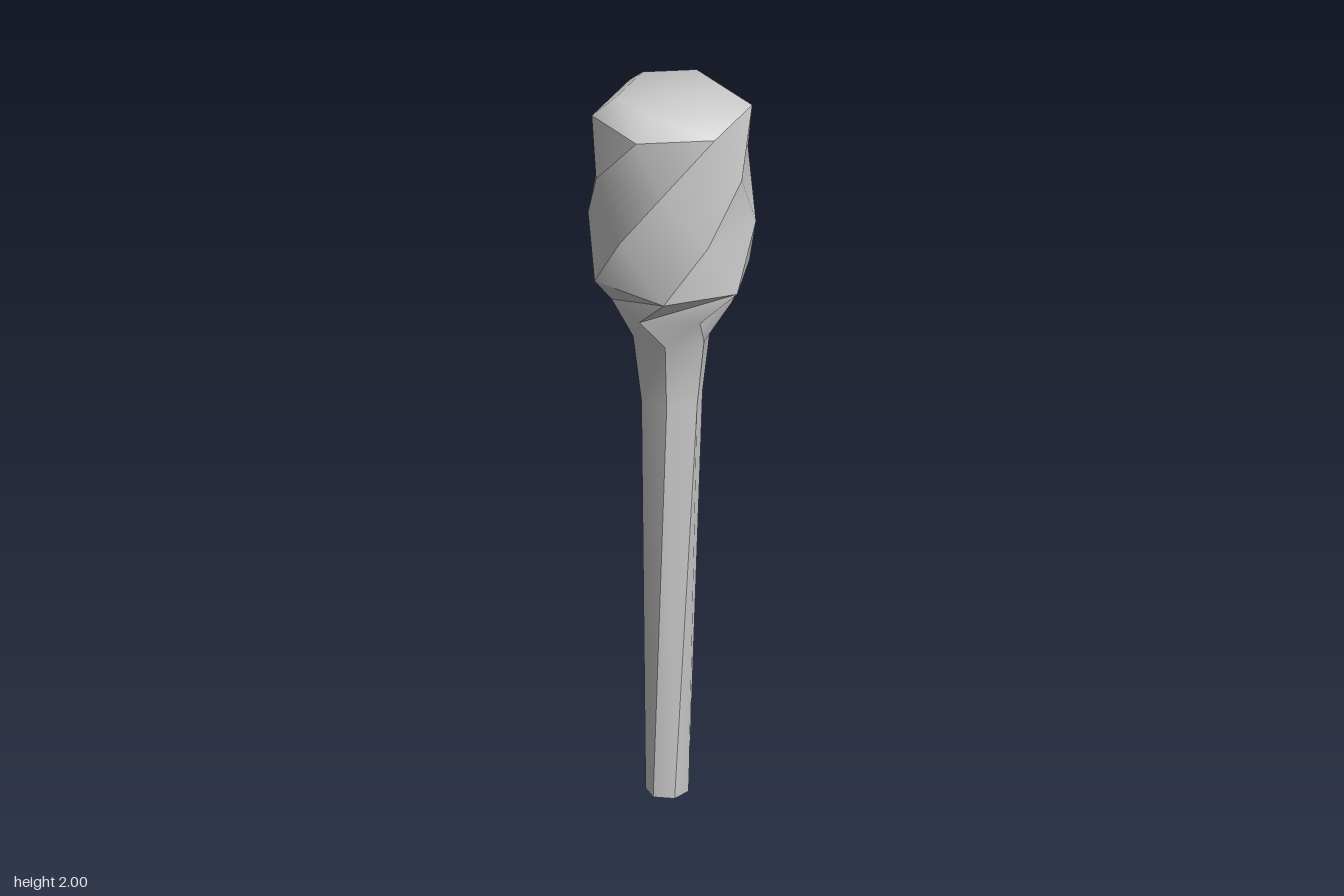
import * as THREE from 'three';
import { mergeGeometries } from 'three/addons/utils/BufferGeometryUtils.js';

const SIDES = 6;

// six-sided ring: radii and base angles repeat on opposite sides
function ring(y, radii, angles, turn = 0, cx = 0, cz = 0) {
  return Array.from({ length: SIDES }, (_, k) => {
    const r = radii[k % radii.length];
    const a = THREE.MathUtils.degToRad(angles[k % 3] + (k >= 3 ? 180 : 0) + turn);
    return new THREE.Vector3(cx + r * Math.cos(a), y, cz + r * Math.sin(a));
  });
}

function geometry(points, index) {
  const g = new THREE.BufferGeometry().setFromPoints(points);
  g.setIndex(index);
  g.computeVertexNormals();
  return g;
}

// one lengthwise face between two ridges, rings listed top to bottom;
// each quad is split along its shorter diagonal
function strip(rings, k, tip) {
  const n = (k + 1) % SIDES;
  const points = [], index = [];
  rings.forEach((r) => points.push(r[k], r[n]));
  for (let i = 0; i < rings.length - 1; i++) {
    const a = 2 * i, b = a + 1, c = a + 2, d = a + 3;
    if (points[b].distanceTo(points[c]) < points[a].distanceTo(points[d])) {
      index.push(a, b, c, b, d, c);
    } else {
      index.push(a, b, d, a, d, c);
    }
  }
  if (tip) {
    points.push(tip);
    index.push(points.length - 1, 1, 0);
  }
  return geometry(points, index);
}

const sides = (make) => mergeGeometries(Array.from({ length: SIDES }, (_, k) => make(k)));

export function createModel() {
  const group = new THREE.Group();
  const material = new THREE.MeshStandardMaterial({ color: 0xcccccc });
  const add = (name, geo) => {
    const mesh = new THREE.Mesh(geo, material);
    mesh.name = name;
    group.add(mesh);
  };

  // twisted head
  const radii = [0.209, 0.218, 0.209];
  const base = [18.8, 75.5, 132];
  const head = [[1.95, 0], [1.8, 39], [1.645, 72], [1.49, 104.5]]
    .map(([y, turn]) => ring(y, radii, base, turn));
  add('twistedHead', sides((k) => strip(head, k)));

  // softly shaded cap with bevelled rim
  const rim = ring(2, radii.map((r) => r * 0.69), base);
  const capPoints = [...head[0], ...rim, new THREE.Vector3(0, 2, 0)];
  const capIndex = [];
  for (let k = 0; k < SIDES; k++) {
    const n = (k + 1) % SIDES;
    capIndex.push(6 + k, 6 + n, k, 6 + n, n, k, 12, 6 + n, 6 + k);
  }
  add('cap', geometry(capPoints, capIndex));

  // tapering handle, flaring up to the head
  const even = [0, 60, 120];
  const handle = [
    ring(1.405, [0.156], even, 23),
    ring(1.32, [0.107], even),
    ring(1.13, [0.084], even),
    ring(0, [0.056], even, 30, -0.01, 0.008),
  ];
  const lip = head[3];
  const lipAt = (m) => lip[(m + 4) % SIDES];
  add('handle', sides((k) => strip(handle, k, lipAt(k))));

  // overhanging facets under the head
  add('collar', sides((k) => geometry(
    [lipAt(k), lipAt(k + 1), handle[0][(k + 1) % SIDES]], [0, 1, 2])));

  // flat handle end
  const end = [];
  for (let k = 1; k < SIDES - 1; k++) end.push(0, k, k + 1);
  add('handleEnd', geometry(handle[3], end));

  return group;
}
